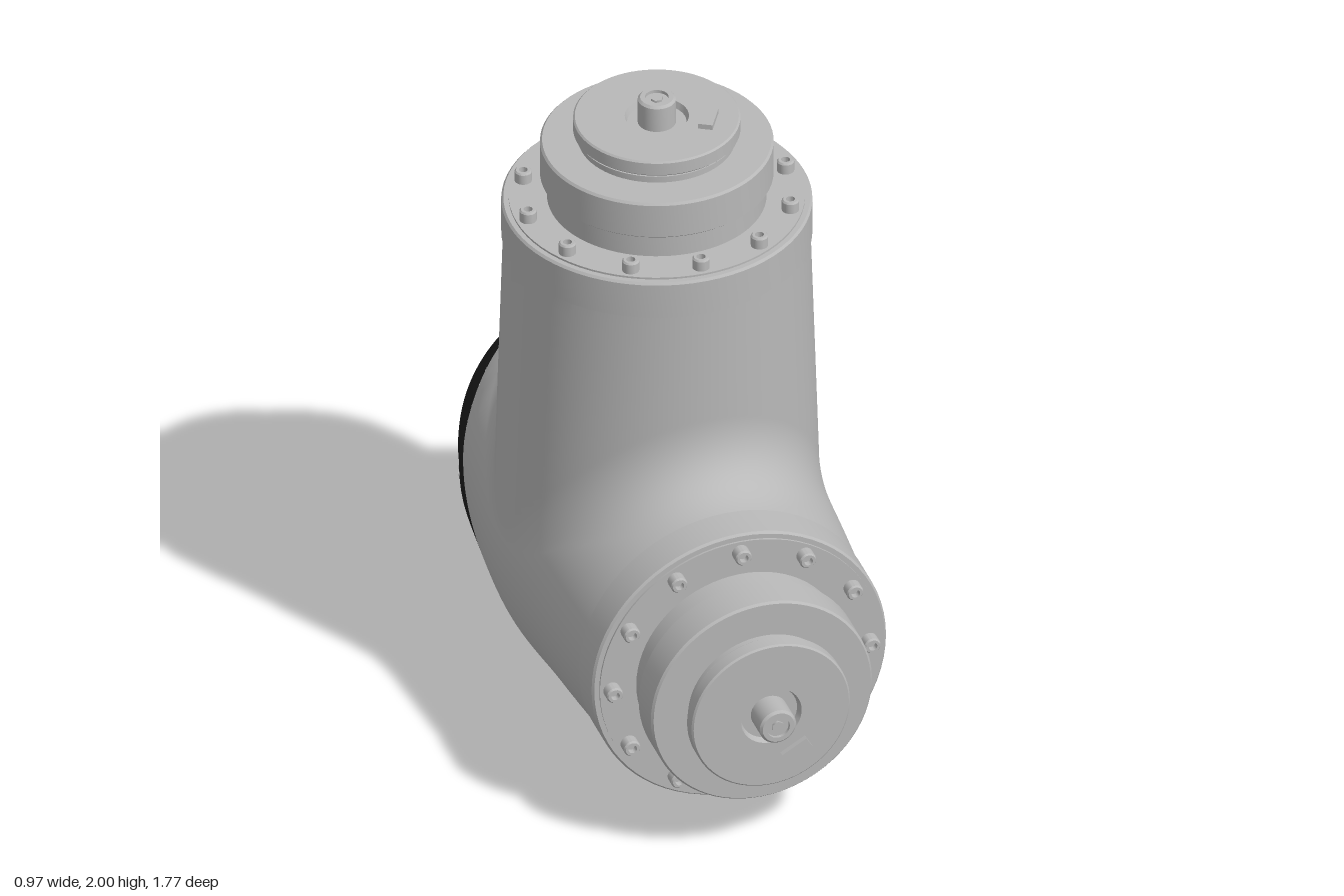
import * as THREE from 'three';
import { toCreasedNormals } from 'three/addons/utils/BufferGeometryUtils.js';

const V = (x, y, z) => new THREE.Vector3(x, y, z);
const clamp = THREE.MathUtils.clamp;
const smooth = THREE.MathUtils.smoothstep;

// Radius of the horizontal barrel along z: [z, radius]
const BARREL = [[0.7, 0.42], [0.41, 0.44], [0.1, 0.472], [-0.2, 0.5], [-0.5, 0.477],
  [-0.65, 0.46], [-0.8, 0.425], [-0.92, 0.32], [-1.1, 0.15]];

function barrelRadius(z) {
  z = clamp(z, -1.09, 0.69);
  let i = 0;
  while (z < BARREL[i + 1][0]) i++;
  const at = (k) => BARREL[clamp(k, 0, BARREL.length - 1)];
  const slope = (k) => (at(k + 1)[1] - at(k - 1)[1]) / (at(k + 1)[0] - at(k - 1)[0]);
  const h = at(i + 1)[0] - at(i)[0], t = (z - at(i)[0]) / h, t2 = t * t, t3 = t2 * t;
  return (2 * t3 - 3 * t2 + 1) * at(i)[1] + (t3 - 2 * t2 + t) * h * slope(i)
    + (3 * t2 - 2 * t3) * at(i + 1)[1] + (t3 - t2) * h * slope(i + 1);
}

const smin = (a, b, k) => Math.min(a, b) - Math.max(k - Math.abs(a - b), 0) ** 2 / (4 * k);
const smax = (a, b, k) => -smin(-a, -b, k);

// Screw pockets in the rear cover: start, end
const POCKETS = [
  [V(0.45, 0.485, -0.69), V(0.4, 0.485, -0.92)],
  [V(-0.45, 0.485, -0.69), V(-0.4, 0.485, -0.92)],
  [V(0, 0.07, -0.69), V(0, 0.115, -0.92)],
  [V(0, 0.945, -0.85), V(0, 0.87, -0.97)],
];

function capsule(p, [a, b], r) {
  const ab = b.clone().sub(a), ap = p.clone().sub(a);
  const t = clamp(ap.dot(ab) / ab.lengthSq(), 0, 1);
  return ap.addScaledVector(ab, -t).length() - r;
}

// Signed field of the elbow: two barrels joined by a fillet
function field(p) {
  const { x, y, z } = p;
  const back = 1 - smooth(z, -0.8, -0.6);
  const cy = 0.505 + 0.025 * (1 - smooth(z, -0.8, -0.4));
  const sx = 1 - 0.03 * (1 - smooth(z, -0.1, 0.41)) - 0.05 * back;
  const across = Math.hypot(x / sx, y - cy) - barrelRadius(z);
  const wide = 1 + 0.08 * clamp((1.53 - y) / 1.03, 0, 1);
  const up = Math.max(Math.hypot(x / wide, z + 0.195) - 0.441, 0.45 - y);
  let d = smin(across, up, 0.2 * Math.max(0.02, 1 - (x / 0.48) ** 2));
  d = smax(d, -0.9965 * (z + 0.86) - 0.084 * (y - 0.475), 0.06);
  d = Math.max(d, y - 1.64, z - 0.52);
  if (z < -0.55) for (const c of POCKETS) d = smax(d, -capsule(p, c, 0.043), 0.008);
  return d;
}

// Skin of the elbow, swept from an origin lying on the cover's parting line
function skin(cover, nPhi, nA) {
  const o = V(0, 0.5, -0.5), n = V(0, 0.547, 0.838).normalize();
  const e1 = V(1, 0, 0), e2 = n.clone().cross(e1);
  const pos = [], nor = [], idx = [], e = 0.002;
  for (let j = 0; j <= nA; j++) {
    for (let i = 0; i <= nPhi; i++) {
      const phi = (i / nPhi) * Math.PI * 2;
      const edge = -0.08 * Math.cos(phi) ** 2;
      const a = cover ? THREE.MathUtils.lerp(-Math.PI / 2, edge, j / nA)
        : THREE.MathUtils.lerp(edge, Math.PI / 2, j / nA);
      const dir = e1.clone().multiplyScalar(Math.cos(phi) * Math.cos(a))
        .addScaledVector(e2, Math.sin(phi) * Math.cos(a)).addScaledVector(n, Math.sin(a));
      let lo = 0, hi = 1.7;
      const p = V(0, 0, 0);
      for (let k = 0; k < 24; k++) {
        const m = (lo + hi) / 2;
        if (field(p.copy(o).addScaledVector(dir, m)) < 0) lo = m; else hi = m;
      }
      const g = V(0, 0, 0);
      for (const ax of ['x', 'y', 'z']) {
        const q = p.clone(), r = p.clone();
        q[ax] += e; r[ax] -= e;
        g[ax] = field(q) - field(r);
      }
      g.normalize();
      pos.push(p.x, p.y, p.z);
      nor.push(g.x, g.y, g.z);
      if (i < nPhi && j < nA) {
        const s = j * (nPhi + 1) + i, u = s + nPhi + 1;
        idx.push(s, s + 1, u + 1, s, u + 1, u);
      }
    }
  }
  const geo = new THREE.BufferGeometry();
  geo.setAttribute('position', new THREE.Float32BufferAttribute(pos, 3));
  geo.setAttribute('normal', new THREE.Float32BufferAttribute(nor, 3));
  geo.setIndex(idx);
  return geo;
}

const turned = (pts, seg) => toCreasedNormals(
  new THREE.LatheGeometry(pts.map(([r, y]) => new THREE.Vector2(r, y)), seg), 0.5);

export function createModel() {
  const grey = new THREE.MeshStandardMaterial({ color: 0xb8b8b8 });
  grey.name = 'housing grey';
  const black = new THREE.MeshStandardMaterial({ color: 0x1c1c1c });
  black.name = 'cover black';
  const silver = new THREE.MeshStandardMaterial({ color: 0xd6d6d6 });
  silver.name = 'screw silver';

  const model = new THREE.Group();
  model.name = 'elbowJoint';
  const add = (parent, name, geo, mat) => {
    const m = new THREE.Mesh(geo, mat);
    m.name = name;
    parent.add(m);
    return m;
  };

  add(model, 'housing', skin(false, 144, 150), grey);
  add(model, 'rearCover', skin(true, 240, 100), black);

  // Round plate on the rear cover
  const plate = add(model, 'rearPlate', new THREE.CylinderGeometry(0.245, 0.25, 0.008, 64), black);
  plate.position.set(0, 0.475, -0.861);
  plate.quaternion.setFromUnitVectors(V(0, 1, 0), V(0, -0.084, -0.9965).normalize());

  // Turned profiles, [radius, height] from the inside out
  const collarGeo = turned([[0.38, 0], [0.437, 0], [0.446, 0.006], [0.446, 0.118], [0.44, 0.125],
    [0.425, 0.125], [0.425, 0.131], [0.3, 0.131]], 72);
  const driveGeo = turned([[0.315, 0.125], [0.315, 0.205], [0.328, 0.205], [0.335, 0.211],
    [0.335, 0.318], [0.329, 0.325], [0.225, 0.325], [0.225, 0.342], [0.232, 0.342], [0.232, 0.35],
    [0.22, 0.35], [0.22, 0.356], [0.235, 0.356], [0.24, 0.361], [0.24, 0.4], [0.235, 0.405],
    [0.092, 0.405], [0.085, 0.385], [0.05, 0.385]], 72);
  const shaftGeo = turned([[0.055, 0.38], [0.055, 0.463], [0.048, 0.47], [0.034, 0.47],
    [0.034, 0.46], [0, 0.46]], 32);
  const boltGeo = turned([[0.025, 0], [0.025, 0.034], [0.021, 0.039], [0.013, 0.039],
    [0.013, 0.02], [0, 0.02]], 18);
  const hexGeo = new THREE.CylinderGeometry(0.018, 0.018, 0.008, 6);
  const keyGeo = new THREE.BoxGeometry(0.085, 0.02, 0.042);

  // Flange with bolts, drive discs, shaft and key
  const flange = (name, roll) => {
    const g = new THREE.Group();
    g.name = name;
    add(g, 'collar', collarGeo, grey);
    add(g, 'driveDiscs', driveGeo, grey);
    add(g, 'shaft', shaftGeo, grey);
    add(g, 'shaftHex', hexGeo, grey).position.y = 0.463;
    const key = add(g, 'key', keyGeo, grey);
    key.position.set(0.075, 0.411, 0.13);
    key.rotation.y = Math.PI / 6;
    for (let i = 0; i < 12; i++) {
      const a = (i * Math.PI) / 6;
      add(g, 'flangeBolt', boltGeo, grey).position.set(0.39 * Math.cos(a), 0.128, 0.39 * Math.sin(a));
    }
    g.rotation.y = roll;
    model.add(g);
    return g;
  };
  flange('topFlange', Math.PI / 6).position.set(0, 1.53, -0.195);
  const front = flange('frontFlange', 0);
  front.position.set(0, 0.505, 0.41);
  front.rotation.x = Math.PI / 2;

  // Screws sitting in the cover pockets
  const screws = [
    [V(0.41, 0.485, -0.675), V(1, 0, -0.25)], [V(-0.41, 0.485, -0.675), V(-1, 0, -0.25)],
    [V(0, 0.11, -0.675), V(0, -1, -0.2)], [V(0, 0.9, -0.835), V(0, 0.8, -0.6)],
  ];
  for (const [p, d] of screws) {
    const s = add(model, 'coverScrew', boltGeo, silver);
    s.position.copy(p);
    s.quaternion.setFromUnitVectors(V(0, 1, 0), d.normalize());
    s.scale.set(0.9, 0.6, 0.9);
  }
  return model;
}
